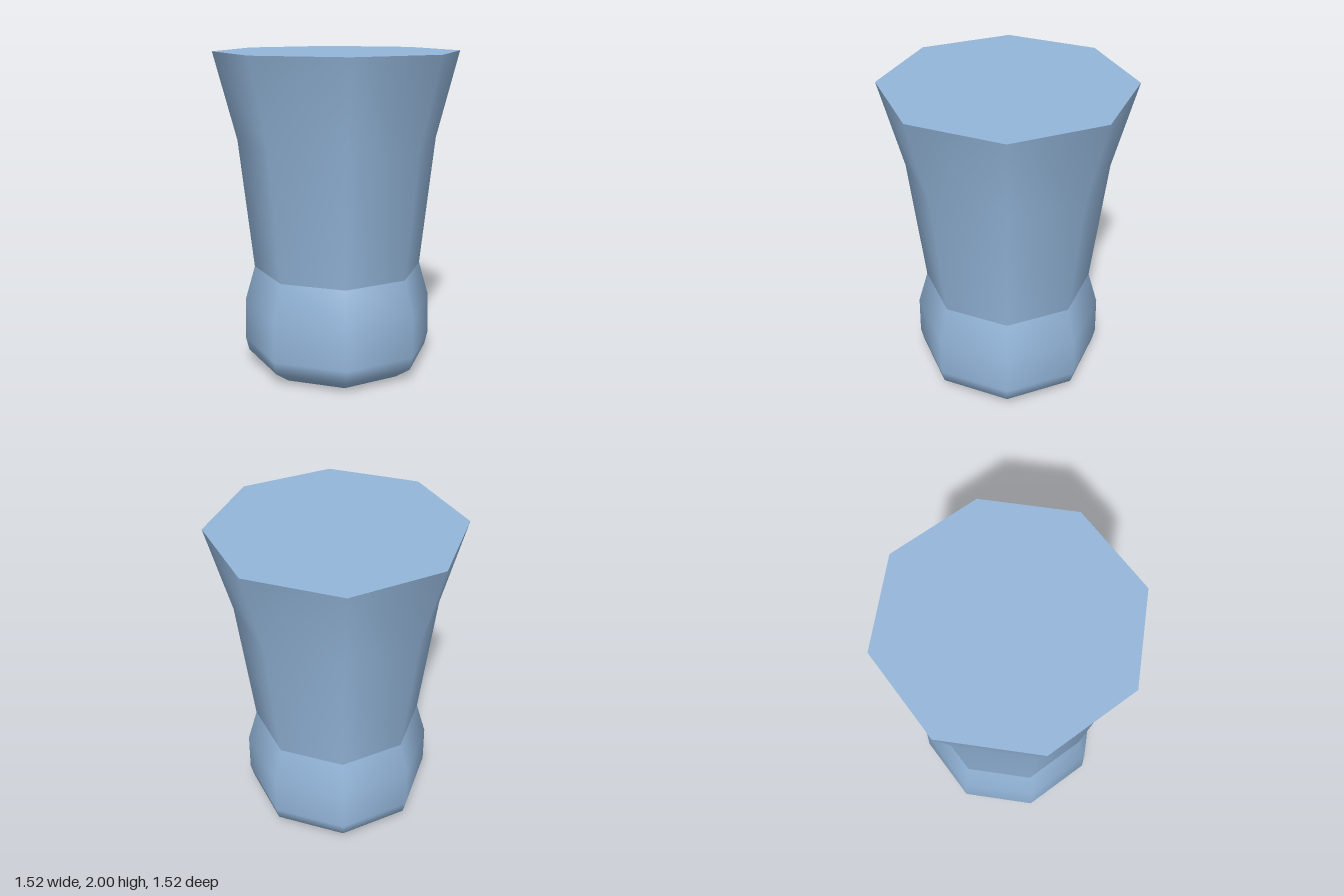
import * as THREE from 'three';

const SIDES = 8;

export function createModel() {
  const group = new THREE.Group();
  group.name = 'tumbler';
  const paleBlue = new THREE.MeshStandardMaterial({ color: 0x94b6da });
  paleBlue.name = 'paleBlue';

  const add = (name, geometry) => {
    const mesh = new THREE.Mesh(geometry, paleBlue);
    mesh.name = name;
    group.add(mesh);
    return mesh;
  };
  const turned = (profile) =>
    new THREE.LatheGeometry(profile.map(([r, y]) => new THREE.Vector2(r, y)), SIDES);

  // Rounded foot with its closed underside
  add('foot', turned([[0, 0], [0.48, 0], [0.582, 0.075], [0.602, 0.16], [0.597, 0.42], [0.533, 0.643]]));

  // Flared body, creased where it meets the foot
  add('body', turned([[0.533, 0.643], [0.622, 1.46], [0.76, 2]]));

  // Flat octagonal top
  const top = add('top', new THREE.CircleGeometry(0.76, SIDES).rotateX(-Math.PI / 2));
  top.position.y = 2;

  return group;
}
